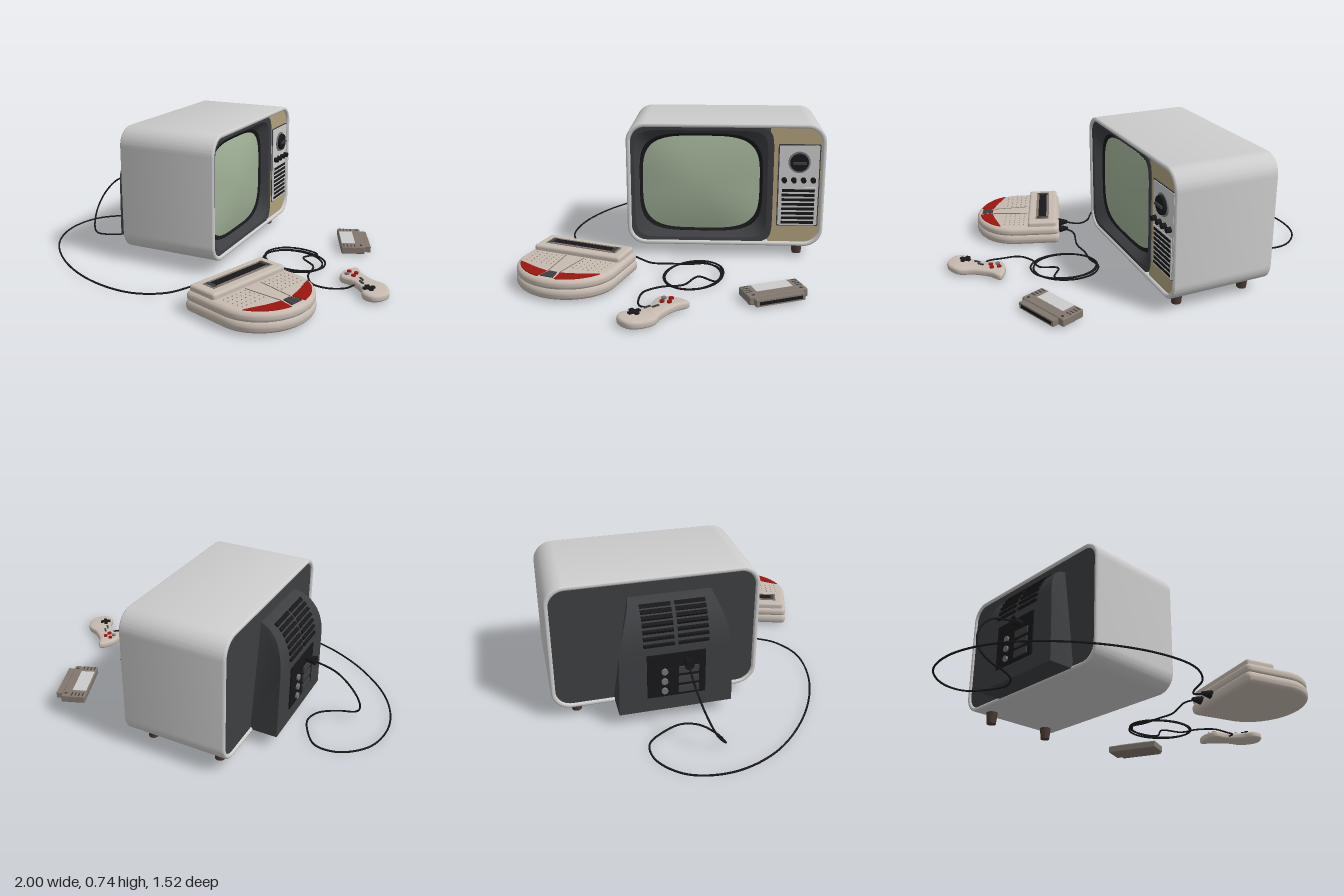
import * as THREE from 'three';
import { toCreasedNormals } from 'three/addons/utils/BufferGeometryUtils.js';
import { RoundedBoxGeometry } from 'three/addons/geometries/RoundedBoxGeometry.js';

const mat = (color) => new THREE.MeshStandardMaterial({ color });
const GREY = mat(0xcccccc), DARK = mat(0x3c3e41), BLACK = mat(0x18181a), BEIGE = mat(0xc6bbb0), RED = mat(0x9c1510);
const TAN = mat(0xb0a17c), GLASS = mat(0x9fb096), TAUPE = mat(0x81776d), BROWN = mat(0x4a3a36), STEEL = mat(0x73757a);

function add(parent, name, geo, material, x = 0, y = 0, z = 0) {
  const mesh = new THREE.Mesh(geo, material);
  mesh.name = name;
  mesh.position.set(x, y, z);
  parent.add(mesh);
  return mesh;
}
const box = (w, h, d) => new THREE.BoxGeometry(w, h, d);
const disc = (r, d, r2 = r) => new THREE.CylinderGeometry(r, r2, d, 32).rotateX(Math.PI / 2);
const pin = (r, h, seg = 20) => new THREE.CylinderGeometry(r, r, h, seg);

function roundRect(w, h, r, cx = 0, cy = 0) {
  const s = new THREE.Shape(), x = w / 2 - r, y = h / 2 - r;
  [[x, y], [-x, y], [-x, -y], [x, -y]].forEach(([px, py], i) =>
    s.absarc(cx + px, cy + py, r, i * Math.PI / 2, (i + 1) * Math.PI / 2, false));
  s.closePath();
  return s;
}

function extrude(shape, depth, bevel = 0, seg = 3) {
  const g = new THREE.ExtrudeGeometry(shape, {
    depth: depth - 2 * bevel, bevelEnabled: bevel > 0, bevelThickness: bevel, bevelSize: bevel,
    bevelOffset: -bevel, bevelSegments: seg, curveSegments: 20 });
  return toCreasedNormals(g.translate(0, 0, bevel), 0.6);
}
// Plan outline (x, -z) raised from y0 to y1
const slab = (shape, y0, y1, bevel, seg) => extrude(shape, y1 - y0, bevel, seg).rotateX(-Math.PI / 2).translate(0, y0, 0);
const plan = (pts) => new THREE.Shape(pts.map(([x, z]) => new THREE.Vector2(x, -z)));

// Surface through superellipse rings [halfWidth, halfHeight, exponent, z], outermost first
function loft(rings, seg = 96) {
  const pos = [], idx = [];
  rings.forEach(([a, b, n, z], k) => {
    for (let i = 0; i <= seg; i++) {
      const t = i / seg * Math.PI * 2, c = Math.cos(t), s = Math.sin(t);
      const r = (Math.abs(c) ** n + Math.abs(s) ** n) ** (-1 / n);
      pos.push(a * r * c, b * r * s, z);
      if (k && i < seg) {
        const p = (k - 1) * (seg + 1) + i, q = p + seg + 1;
        idx.push(p, p + 1, q + 1, p, q + 1, q);
      }
    }
  });
  const g = new THREE.BufferGeometry();
  g.setAttribute('position', new THREE.Float32BufferAttribute(pos, 3));
  g.setIndex(idx);
  return toCreasedNormals(g, 0.5);
}

function cable(parent, name, pts) {
  const curve = new THREE.CatmullRomCurve3(pts.map((p) => new THREE.Vector3(...p)));
  add(parent, name, new THREE.TubeGeometry(curve, 300, 0.005, 8), BLACK);
}

function television() {
  const tv = new THREE.Group();
  tv.name = 'television';
  // Cabinet sleeve
  const shell = roundRect(1.056, 0.675, 0.1);
  shell.holes.push(roundRect(1.01, 0.629, 0.08));
  add(tv, 'cabinet', extrude(shell, 0.55, 0.01), GREY, 0, 0.402, -0.275);
  // Screen side
  const face = new THREE.Shape();
  face.moveTo(0.235, -0.32).lineTo(0.43, -0.32).absarc(0.425, -0.235, 0.085, -Math.PI / 2, 0, false);
  face.absarc(0.425, 0.235, 0.085, 0, Math.PI / 2, false).lineTo(0.235, 0.32);
  add(tv, 'controlFascia', extrude(face, 0.02), TAN, 0, 0.402, 0.24);
  add(tv, 'screenBezel', loft([[0.385, 0.322, 10, 0.24], [0.385, 0.322, 10, 0.265], [0.355, 0.298, 9, 0.262], [0.332, 0.274, 4, 0.215]]), DARK, -0.13, 0.402);
  add(tv, 'screenRim', loft([[0.336, 0.278, 4, 0.21], [0.33, 0.272, 4, 0.222], [0.314, 0.257, 3.7, 0.21]]), BLACK, -0.13, 0.402);
  const bulge = [1, 0.85, 0.7, 0.5, 0.3, 0.1, 0.001].map((s) => [0.316 * s, 0.259 * s, 2 + 1.7 * s, 0.213 + 0.035 * (1 - s * s)]);
  add(tv, 'screen', loft(bulge), GLASS, -0.13, 0.402);
  // Controls
  add(tv, 'controlFrame', extrude(roundRect(0.222, 0.452, 0.006), 0.006), DARK, 0.389, 0.405, 0.257);
  add(tv, 'controlPlate', extrude(roundRect(0.21, 0.44, 0.006), 0.008), GREY, 0.389, 0.405, 0.258);
  add(tv, 'dialRing', disc(0.058, 0.012), STEEL, 0.389, 0.535, 0.267);
  add(tv, 'dial', disc(0.046, 0.03, 0.052), BLACK, 0.389, 0.535, 0.272);
  add(tv, 'dialPointer', box(0.07, 0.012, 0.014), DARK, 0.389, 0.535, 0.289);
  for (let i = 0; i < 4; i++) add(tv, 'knob', disc(0.013, 0.03, 0.015), BLACK, 0.312 + i * 0.051, 0.438, 0.275);
  add(tv, 'speakerFrame', box(0.188, 0.212, 0.006), GREY, 0.389, 0.29, 0.266);
  for (let i = 0; i < 8; i++) add(tv, 'speakerSlot', box(0.174, 0.015, 0.004), BLACK, 0.389, 0.201 + i * 0.0255, 0.269);
  // Back panel and tapering tube housing
  add(tv, 'backPanel', extrude(roundRect(1.02, 0.64, 0.085), 0.03), DARK, 0, 0.402, -0.265);
  const prof = new THREE.Shape();
  prof.moveTo(-0.02, 0.075).lineTo(0.14, 0.075).lineTo(0.14, 0.41);
  const arc = new THREE.CubicBezierCurve(new THREE.Vector2(0.14, 0.41), new THREE.Vector2(0.135, 0.52),
    new THREE.Vector2(0.1, 0.62), new THREE.Vector2(0, 0.645));
  arc.getPoints(16).forEach((p) => prof.lineTo(p.x, p.y));
  prof.lineTo(-0.02, 0.645);
  const taper = (y) => 1 - 0.28 * (Math.max(0, y - 0.3) / 0.345) ** 2;
  const hull = new THREE.ExtrudeGeometry(prof, { depth: 0.57, bevelEnabled: false }).translate(0, 0, -0.285);
  const hp = hull.attributes.position;
  for (let i = 0; i < hp.count; i++) hp.setZ(i, hp.getZ(i) * taper(hp.getY(i)));
  add(tv, 'tubeHousing', toCreasedNormals(hull, 0.5).rotateY(Math.PI / 2), DARK, -0.07, 0, -0.265);
  for (let i = 0; i < 7; i++) {
    const p = arc.getPoint(0.12 + i * 0.11), t = arc.getTangent(0.12 + i * 0.11);
    for (const s of [-1, 1]) {
      const rib = add(tv, 'coolingRib', box(0.15, 0.014, 0.02), BLACK, -0.07 + s * 0.085, p.y, -0.265 - p.x);
      rib.rotation.x = -Math.atan2(-t.x, t.y);
    }
  }
  // Sockets
  add(tv, 'socketPlate', box(0.29, 0.24, 0.008), BLACK, -0.07, 0.275, -0.407);
  for (let i = 0; i < 3; i++) {
    add(tv, 'socketBlock', box(0.1, 0.035, 0.016), DARK, -0.13, 0.19 + i * 0.055, -0.411);
    add(tv, 'socket', disc(0.016, 0.02), STEEL, -0.01, 0.19 + i * 0.055, -0.412);
  }
  add(tv, 'aerialPlug', disc(0.014, 0.06, 0.024), BLACK, -0.12, 0.35, -0.435);
  // Feet
  for (const z of [-0.19, 0.19]) {
    add(tv, 'foot', new THREE.CylinderGeometry(0.032, 0.025, 0.07, 24), BROWN, 0.4, 0.035, z);
  }
  tv.position.set(-0.23, 0, -0.12);
  tv.rotation.y = 1.904;
  return tv;
}

function gameConsole() {
  const g = new THREE.Group();
  g.name = 'gameConsole';
  // D-shaped outline centred on z = 0, shrunk by an inset
  const outline = (inset) => {
    const s = new THREE.Shape(), h = 0.265 - inset, x = 0.39 + inset;
    s.moveTo(x, -h + 0.03).quadraticCurveTo(x, -h, x + 0.03, -h).lineTo(0.64, -h);
    s.absellipse(0.64, 0, 0.24 - inset, h, -Math.PI / 2, Math.PI / 2, false, 0);
    s.lineTo(x + 0.03, h).quadraticCurveTo(x, h, x, h - 0.03);
    return s;
  };
  add(g, 'lowerShell', slab(outline(0), 0.008, 0.075, 0.03, 5), BEIGE);
  add(g, 'upperShell', slab(outline(0.003), 0.06, 0.114, 0.024, 5), BEIGE);
  // Raised cartridge deck
  add(g, 'cartridgeDeck', new RoundedBoxGeometry(0.165, 0.05, 0.49, 4, 0.014), BEIGE, 0.487, 0.117, 0);
  add(g, 'slotFrame', box(0.075, 0.006, 0.4), TAUPE, 0.487, 0.142, 0);
  add(g, 'slot', box(0.045, 0.008, 0.37), BLACK, 0.487, 0.142, 0);
  for (const z of [-0.18, 0.18]) add(g, 'slotEnd', box(0.06, 0.01, 0.02), DARK, 0.487, 0.142, z);
  // Red panels, vent dots and ridges on both halves
  for (const s of [-1, 1]) {
    const pts = [];
    for (let a = 11; a <= 70; a += 4) {
      const t = a * Math.PI / 180;
      pts.push([0.64 + 0.218 * Math.cos(t), s * 0.242 * Math.sin(t)]);
    }
    pts.push([0.735, s * 0.19], [0.765, s * 0.11], [0.785, s * 0.035]);
    add(g, 'redPanel', slab(plan(pts), 0.105, 0.118, 0.002, 1), RED);
    for (let i = 0; i < 5; i++) {
      for (let j = 0; j < 6; j++) add(g, 'ventDot', pin(0.003, 0.004, 6), TAUPE, 0.595 + i * 0.027, 0.114, s * (0.07 + j * 0.028 - i * 0.002));
    }
    const ridge = add(g, 'ridge', box(0.2, 0.006, 0.004), TAUPE, 0.68, 0.113, s * 0.042);
    ridge.rotation.y = s * 0.1;
  }
  add(g, 'powerBadge', slab(plan([[0.785, -0.022], [0.845, -0.035], [0.845, 0.035], [0.785, 0.022]]), 0.105, 0.12, 0.002, 1), DARK);
  for (const z of [-0.165, -0.07]) {
    add(g, 'plug', new THREE.CylinderGeometry(0.009, 0.024, 0.055, 16).rotateZ(Math.PI / 2), BLACK, 0.368, 0.06, z);
  }
  g.position.z = 0.4;
  return g;
}

function controller() {
  const g = new THREE.Group();
  g.name = 'controller';
  const edge = [[0.7, -0.272], [0.765, -0.228], [0.85, -0.198], [0.93, -0.19], [0.995, -0.11], [0.965, -0.03], [0.91, -0.022],
    [0.86, -0.075], [0.785, -0.112], [0.705, -0.117], [0.678, -0.185]];
  const curve = new THREE.CatmullRomCurve3(edge.map(([x, z]) => new THREE.Vector3(x, 0, z)), true);
  add(g, 'padBody', slab(plan(curve.getPoints(60).slice(0, -1).map((p) => [p.x, p.z])), 0.006, 0.045, 0.013, 4), BEIGE);
  [[0.712, -0.185, RED], [0.75, -0.192, RED], [0.722, -0.152, STEEL], [0.758, -0.158, RED]].forEach(([x, z, m]) =>
    add(g, 'button', pin(0.012, 0.014), m, x, 0.046, z));
  for (const r of [0, Math.PI / 2]) add(g, 'directionCross', box(0.06, 0.012, 0.02), BLACK, 0.9, 0.047, -0.085).rotation.y = r - 0.54;
  for (const [x, z] of [[0.812, -0.15], [0.833, -0.118]]) add(g, 'menuButton', box(0.035, 0.01, 0.01), DARK, x, 0.045, z).rotation.y = -0.54;
  return g;
}

function cartridge() {
  const g = new THREE.Group();
  g.name = 'cartridge';
  add(g, 'cartridgeBody', new RoundedBoxGeometry(0.305, 0.042, 0.13, 3, 0.007), TAUPE, 0, 0.029, 0.014);
  add(g, 'connectorEnd', box(0.25, 0.032, 0.04), TAUPE, 0.005, 0.028, -0.065);
  add(g, 'connectorOpening', box(0.22, 0.016, 0.004), BLACK, 0.005, 0.028, -0.085);
  add(g, 'label', box(0.19, 0.004, 0.075), GREY, 0, 0.05, 0.036);
  for (const s of [-1, 1]) {
    add(g, 'screw', pin(0.008, 0.003), DARK, s * 0.125, 0.05, -0.03);
    for (let i = 0; i < 4; i++) add(g, 'gripRib', box(0.03, 0.006, 0.006), DARK, s * 0.13, 0.048, 0.005 + i * 0.02);
  }
  g.position.set(0.44, 0, -0.605);
  g.rotation.y = -0.855;
  return g;
}

export function createModel() {
  const model = new THREE.Group();
  model.name = 'retroGameSetup';
  model.add(television(), gameConsole(), controller(), cartridge());
  // Lead from television to console, with one loop on the ground
  const y = 0.007;
  cable(model, 'televisionLead', [[-0.62, 0.35, 0.14], [-0.74, 0.32, 0.175], [-0.815, 0.22, 0.23], [-0.825, 0.1, 0.29], [-0.77, 0.018, 0.33],
    [-0.7, y, 0.29], [-0.635, y, 0.2], [-0.635, y, 0.11], [-0.7, y, 0.03], [-0.8, y, -0.03], [-0.91, y, 0.01], [-0.993, y, 0.16], [-0.96, y, 0.37],
    [-0.8, y, 0.57], [-0.5, y, 0.72], [-0.18, y, 0.765], [0.06, y, 0.71], [0.18, y, 0.59], [0.22, 0.012, 0.45], [0.28, 0.035, 0.355], [0.36, 0.06, 0.33]]);
  // Controller lead with coiled slack
  const coil = [];
  for (let i = 0; i <= 24; i++) {
    const t = 2.5 + i * Math.PI / 5, r = 1 + 0.05 * Math.sin(i * 0.9);
    coil.push([0.365 + 0.175 * r * Math.cos(t), 0.008 + 0.0008 * i, -0.16 + 0.142 * r * Math.sin(t)]);
  }
  cable(model, 'controllerLead', [[0.36, 0.06, 0.235], [0.31, 0.045, 0.205], [0.293, 0.015, 0.11], [0.25, y, 0.02], ...coil,
    [0.4, 0.03, -0.2], [0.5, 0.02, -0.16], [0.545, 0.012, -0.06], [0.62, y, 0], [0.71, y, -0.015], [0.785, 0.018, -0.06], [0.8, 0.025, -0.12]]);
  return model;
}
